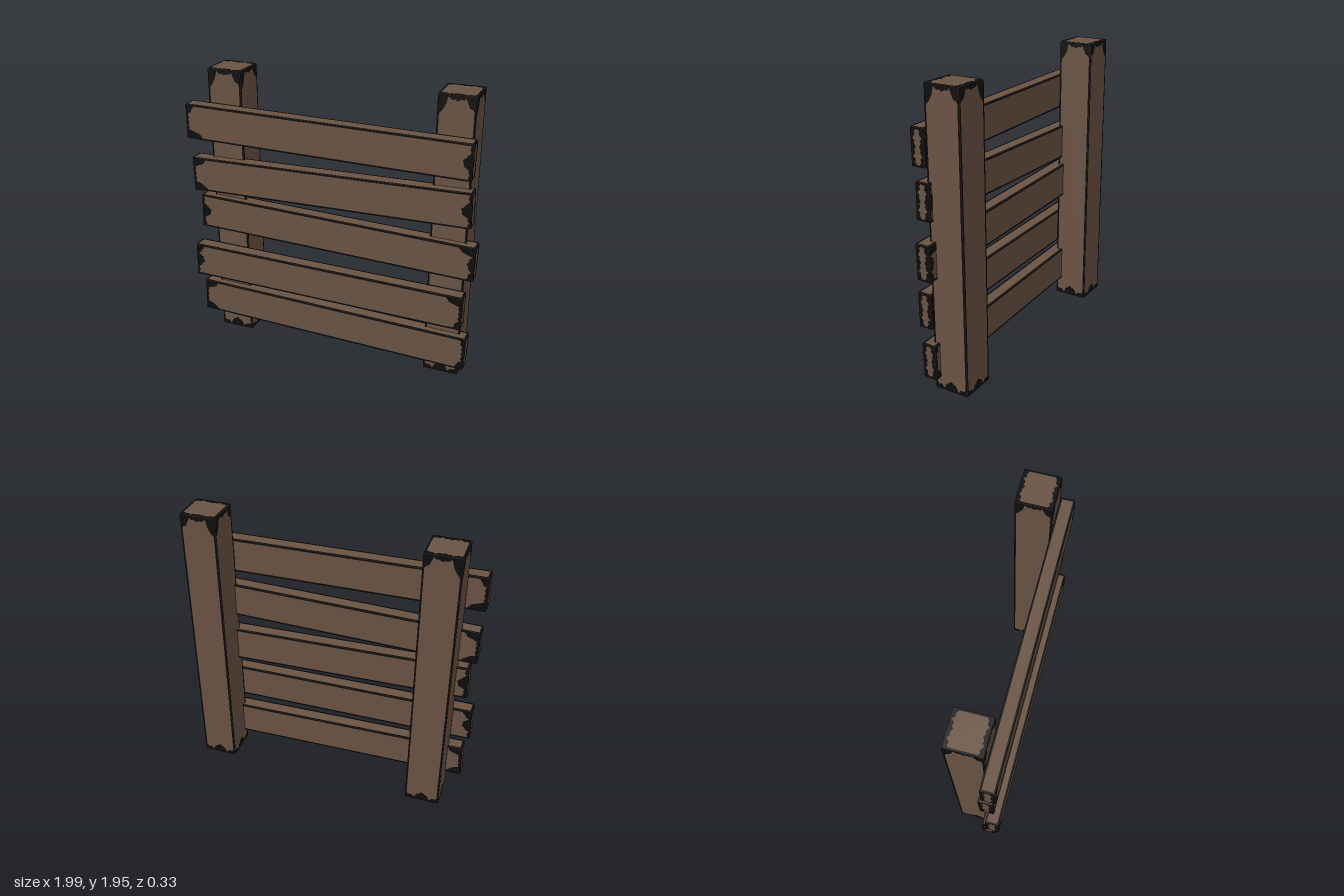
import * as THREE from 'three';

const wood = new THREE.MeshStandardMaterial({ color: 0x6a5443 });
wood.name = 'brown wood';
const char = new THREE.MeshStandardMaterial({ color: 0x0d0d0d });
char.name = 'dark worn edge';

const BORDER = 0.011;
const LIFT = 0.002;
const H = Math.PI / 2;
const STEPS = 16;

// Ragged wear across a timber's end: depth at the bottom, middle and top of that end
function wear(bottom, middle, top) {
  const bump = (t, centre) => Math.max(0, 1 - ((t - centre) / 0.24) ** 2);
  return Array.from({ length: STEPS + 1 }, (_, i) => {
    const t = i / STEPS;
    const depth = bottom * bump(t, 0) + middle * bump(t, 0.5) + top * bump(t, 1);
    const rough = 0.006 * (1 + Math.sin(i * 2.3 + top * 90));
    return { t, inset: BORDER + depth + rough };
  });
}

const THIN = [{ t: 0, inset: BORDER }, { t: 1, inset: BORDER }];
const CHIPS = wear(0.015, 0.012, 0.015);
const FOOT = wear(0.02, 0.05, 0.02);
const DRIPS = wear(0.07, 0.015, 0.1);

// Dark frame whose opening follows the wear at both ends
function wornFrame(w, h, left, right) {
  const shape = new THREE.Shape();
  shape.moveTo(-w / 2, -h / 2).lineTo(w / 2, -h / 2).lineTo(w / 2, h / 2).lineTo(-w / 2, h / 2);
  const row = (profile, side) => profile.map(({ t, inset }) => new THREE.Vector2(
    side * (w / 2 - inset),
    THREE.MathUtils.lerp(BORDER - h / 2, h / 2 - BORDER, t)));
  shape.holes.push(new THREE.Path([...row(left, -1), ...row(right, 1).reverse()]));
  return new THREE.ShapeGeometry(shape);
}

// A timber lying along x, with worn edges painted on its six faces
function timber(name, l, h, d, left, right, edgeLeft, edgeRight) {
  const group = new THREE.Group();
  group.name = name;
  const body = new THREE.Mesh(new THREE.BoxGeometry(l, h, d), wood);
  body.name = name + 'Body';
  group.add(body);

  const paint = (w, v, a, b, dist, rx, ry) => {
    const geo = wornFrame(w, v, a, b);
    geo.translate(0, 0, dist + LIFT).rotateX(rx).rotateY(ry);
    const worn = new THREE.Mesh(geo, char);
    worn.name = name + 'WornEdges';
    group.add(worn);
  };
  paint(l, h, left, right, d / 2, 0, 0);
  paint(l, h, right, left, d / 2, 0, Math.PI);
  for (const side of [-1, 1]) {
    paint(l, d, edgeLeft, edgeRight, h / 2, side * H, 0);
    paint(d, h, CHIPS, CHIPS, l / 2, 0, side * H);
  }
  return group;
}

// Planks: centre x, centre y, centre z, rise over the length, wear at each end
const PLANKS = [
  { x: -0.028, y: 1.583, z: 0.118, rise: -0.027, left: wear(0.1, 0, 0.035), right: wear(0, 0.04, 0) },
  { x: -0.018, y: 1.23, z: 0.092, rise: 0.035, left: wear(0.08, 0, 0.08), right: wear(0, 0.045, 0) },
  { x: 0.022, y: 0.908, z: 0.078, rise: -0.06, left: wear(0.01, 0.05, 0), right: wear(0.02, 0.025, 0.09) },
  { x: -0.028, y: 0.546, z: 0.118, rise: -0.032, left: wear(0, 0.04, 0.04), right: wear(0.03, 0, 0.09) },
  { x: 0.002, y: 0.23, z: 0.078, rise: -0.054, left: wear(0.08, 0, 0.08), right: wear(0.035, 0, 0.015) },
];
const PLANK_LENGTH = 1.935;

export function createModel() {
  const model = new THREE.Group();
  model.name = 'fence';

  // Two upright posts
  for (const [name, x] of [['rightPost', -0.747], ['leftPost', 0.802]]) {
    const post = timber(name, 1.941, 0.235, 0.235, FOOT, DRIPS, FOOT, DRIPS);
    post.rotation.z = H;
    post.position.set(x, 0.9725, -0.047);
    model.add(post);
  }

  // Five crooked planks across the front
  PLANKS.forEach(({ x, y, z, rise, left, right }, i) => {
    const plank = timber('plank' + (i + 1), PLANK_LENGTH, 0.235, 0.092, left, right, THIN, THIN);
    plank.position.set(x, y, z);
    plank.rotation.z = Math.atan2(rise, PLANK_LENGTH);
    model.add(plank);
  });
  return model;
}
